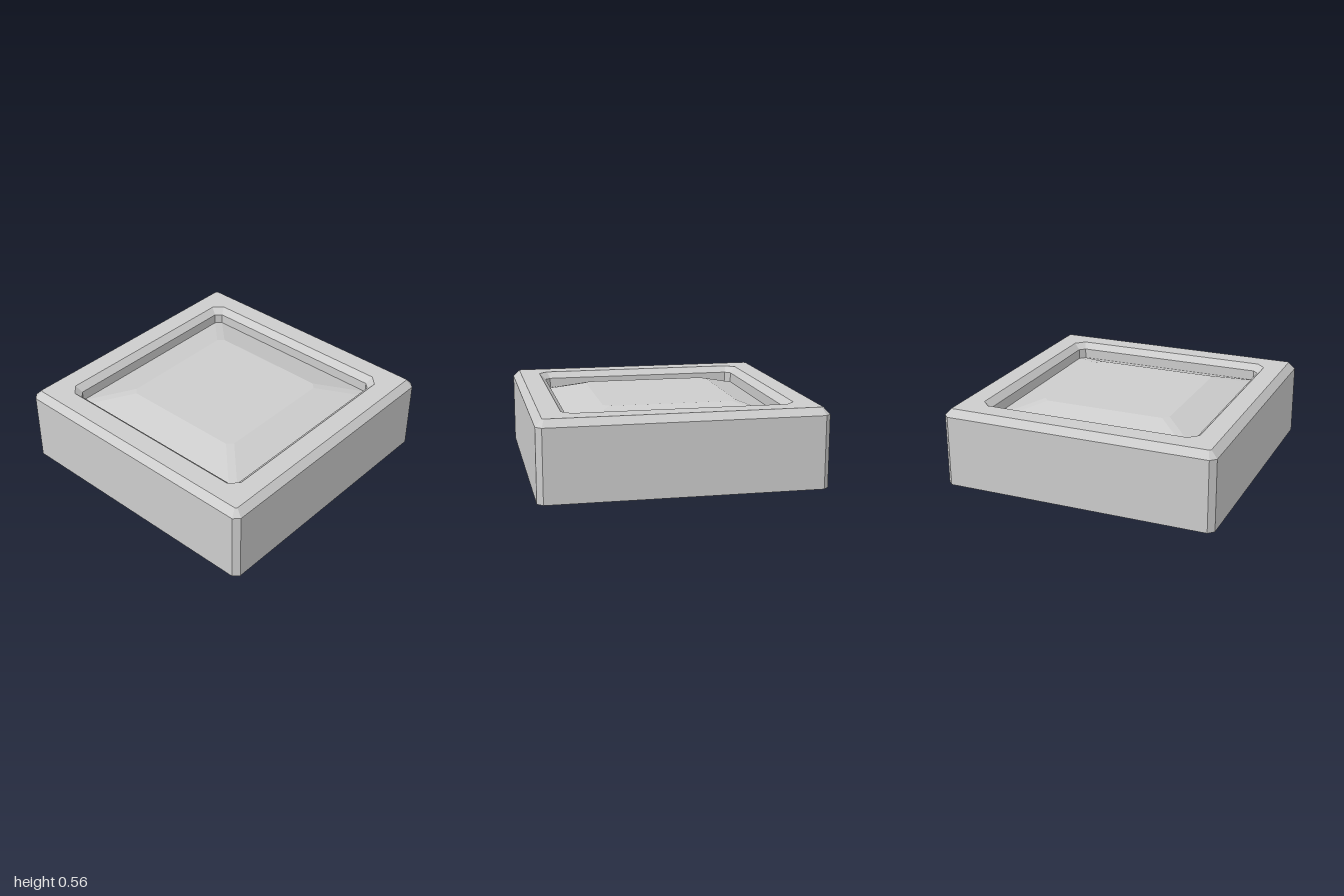
import * as THREE from 'three';

// Chamfered square outline: half width, corner cut, height
function ring([half, cut, y]) {
  const k = half - cut;
  return [
    [half, -k], [half, k], [k, half], [-k, half],
    [-half, k], [-half, -k], [-k, -half], [k, -half],
  ].map(([x, z]) => new THREE.Vector3(x, y, z));
}

// Joins successive outlines with flat faces; a zero-width outline closes an end
function loft(name, sections, material) {
  const rings = sections.map(ring);
  const points = [];
  for (let s = 0; s < rings.length - 1; s++) {
    for (let i = 0; i < 8; i++) {
      const j = (i + 1) % 8;
      const a = rings[s][i], b = rings[s][j];
      const c = rings[s + 1][i], d = rings[s + 1][j];
      if (sections[s][0] > 0) points.push(a, c, b);
      if (sections[s + 1][0] > 0) points.push(b, c, d);
    }
  }
  const geometry = new THREE.BufferGeometry().setFromPoints(points);
  geometry.computeVertexNormals();
  const mesh = new THREE.Mesh(geometry, material);
  mesh.name = name;
  return mesh;
}

export function createModel() {
  const stone = new THREE.MeshStandardMaterial({ color: 0xcccccc });
  stone.name = 'light grey';

  const model = new THREE.Group();
  model.name = 'squareBlock';

  // Shallow recess under the block
  model.add(loft('undersideRecess', [
    [0, 0, 0.07], [0.76, 0.04, 0.07], [0.76, 0.04, 0],
  ], stone));

  // Outer walls, bevelled rim and inner walls
  model.add(loft('frame', [
    [0.76, 0.04, 0], [1, 0.04, 0], [1, 0.04, 0.515], [0.953, 0.012, 0.565],
    [0.808, 0.065, 0.565], [0.762, 0.04, 0.52], [0.762, 0.04, 0.445],
  ], stone));

  // Raised panel with sloping sides
  model.add(loft('raisedPanel', [
    [0.762, 0.04, 0.445], [0.48, 0.04, 0.535], [0, 0, 0.535],
  ], stone));

  return model;
}
